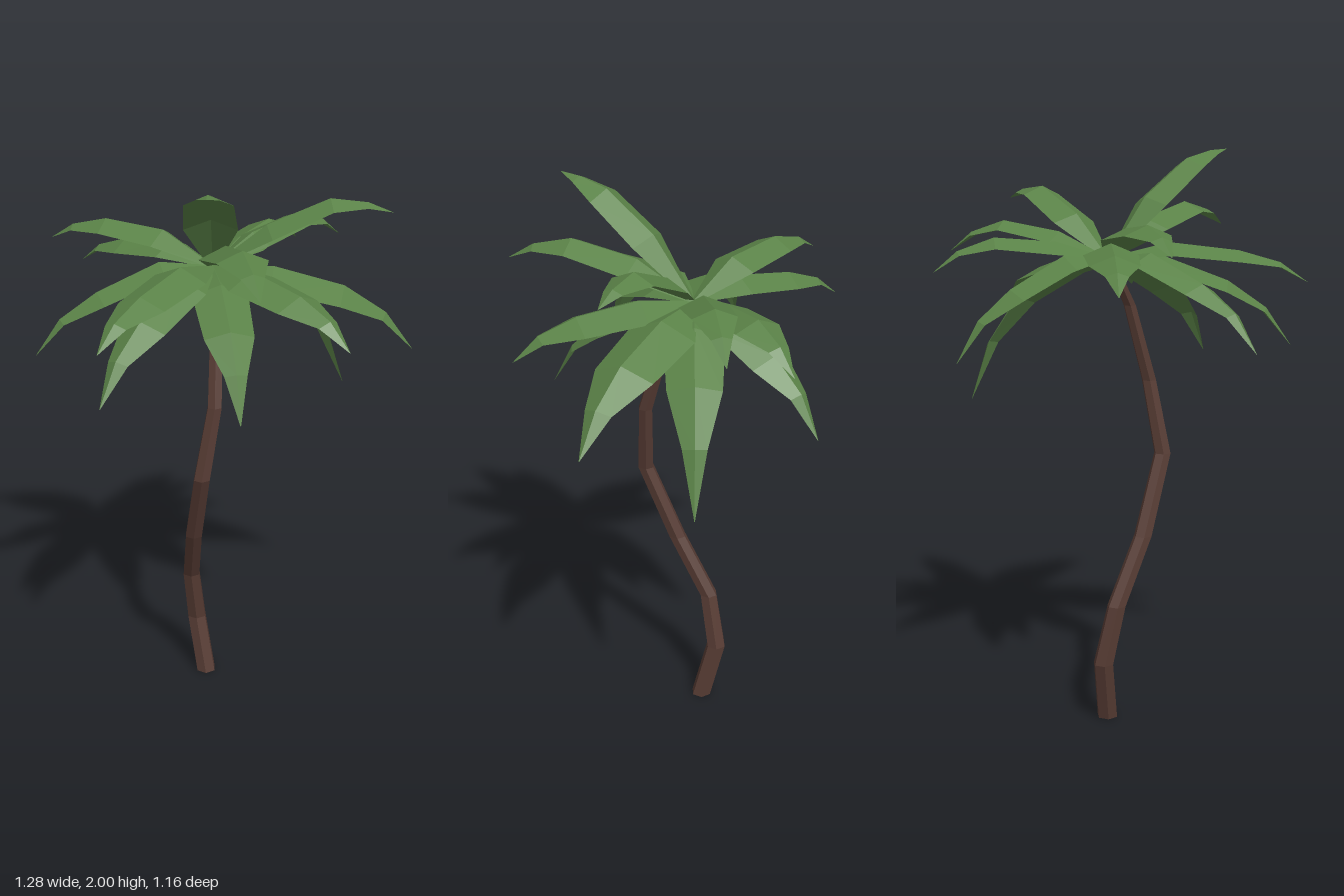
import * as THREE from 'three';

const bark = new THREE.MeshStandardMaterial({ color: 0x573c34, flatShading: true });
bark.name = 'bark brown';
const green = new THREE.MeshStandardMaterial({ color: 0x5a8247, flatShading: true, side: THREE.DoubleSide });
green.name = 'leaf green';

// Trunk rings from the ground up: x, y, z, radius
const RINGS = [
  [-0.08, 0, -0.087, 0.038],
  [-0.115, 0.22, -0.13, 0.037],
  [-0.132, 0.43, -0.085, 0.034],
  [-0.118, 0.66, 0.042, 0.033],
  [-0.085, 0.94, 0.155, 0.031],
  [-0.04, 1.2, 0.128, 0.027],
  [-0.035, 1.47, 0.045, 0.023],
  [-0.045, 1.62, -0.04, 0.017],
];

// Fronds: tip x, y, z, then rib height at 30% and 65% of the reach, width scale
const FRONDS = [
  [0.555, 1.822, -0.06, 1.78, 1.87, 0.82],
  [0.64, 1.35, -0.03, 1.64, 1.575, 1.2],
  [0.43, 1.11, -0.32, 1.61, 1.49, 1.0],
  [0.405, 1.65, -0.41, 1.725, 1.76, 0.8],
  [0.257, 1.593, -0.566, 1.695, 1.71, 0.9],
  [0.085, 1.307, -0.583, 1.65, 1.545, 0.95],
  [0.388, 1.49, 0.38, 1.66, 1.625, 1.05],
  [0.1, 1.725, 0.58, 1.765, 1.815, 0.92],
  [-0.06, 2.0, 0.458, 1.84, 1.968, 0.87],
  [0.045, 1.27, 0.452, 1.62, 1.52, 0.92],
  [-0.39, 1.548, 0.55, 1.69, 1.66, 0.95],
  [-0.397, 1.335, 0.47, 1.645, 1.56, 0.95],
  [-0.643, 1.367, 0.083, 1.665, 1.575, 0.85],
  [-0.61, 1.685, -0.24, 1.748, 1.77, 0.88],
  [-0.52, 1.565, -0.37, 1.7, 1.675, 0.9],
];
const CROWN = new THREE.Vector3(-0.047, 1.64, -0.058);

// Six-sided tube whose rings follow the crooked trunk
function trunkGeometry() {
  const n = RINGS.length - 1;
  const geo = new THREE.CylinderGeometry(1, 1, 1, 6, n);
  const pos = geo.attributes.position;
  for (let i = 0; i < pos.count; i++) {
    const [x, y, z, r] = RINGS[Math.round((pos.getY(i) + 0.5) * n)];
    pos.setXYZ(i, x + pos.getX(i) * r, y, z + pos.getZ(i) * r);
  }
  geo.computeVertexNormals();
  return geo;
}

// Folded leaf: a raised rib with drooping edges on both sides
function frondGeometry([tx, ty, tz, y1, y2, scale]) {
  const tip = new THREE.Vector3(tx, ty, tz);
  const at = (t, y) => CROWN.clone().lerp(tip, t).setY(y);
  // The steeper a frond falls, the more its end curls over
  const y3 = THREE.MathUtils.lerp(y2, ty, 0.6) + 0.15 * Math.max(0, y2 - ty) + 0.008;
  const rib = [CROWN, at(0.3, y1), at(0.65, y2), at(0.86, y3), tip];
  const halfWidth = [0.015, 0.102, 0.09, 0.041, 0.001];
  const last = rib.length - 1;
  const side = new THREE.Vector3(-(tz - CROWN.z), 0, tx - CROWN.x).normalize();
  const points = [];
  rib.forEach((p, i) => {
    const along = rib[Math.min(i + 1, last)].clone().sub(rib[Math.max(i - 1, 0)]).normalize();
    const up = along.cross(side).multiplyScalar(-1);
    for (const s of [-1, 0, 1]) {
      const w = halfWidth[i] * scale;
      const q = p.clone().addScaledVector(side, s * w).addScaledVector(up, -Math.abs(s) * w * 0.42);
      points.push(q.x, q.y, q.z);
    }
  });
  const index = [];
  for (let i = 0; i < last; i++) {
    for (let j = 0; j < 2; j++) {
      const a = i * 3 + j, b = a + 1, c = a + 3, d = a + 4;
      index.push(a, b, c, b, d, c);
    }
  }
  const geo = new THREE.BufferGeometry();
  geo.setAttribute('position', new THREE.Float32BufferAttribute(points, 3));
  geo.setIndex(index);
  geo.computeVertexNormals();
  return geo;
}

export function createModel() {
  const model = new THREE.Group();
  model.name = 'palmTree';

  const trunk = new THREE.Mesh(trunkGeometry(), bark);
  trunk.name = 'trunk';
  model.add(trunk);

  const crown = new THREE.Group();
  crown.name = 'crown';
  FRONDS.forEach((f, i) => {
    const frond = new THREE.Mesh(frondGeometry(f), green);
    frond.name = `frond${i + 1}`;
    crown.add(frond);
  });
  model.add(crown);
  return model;
}
